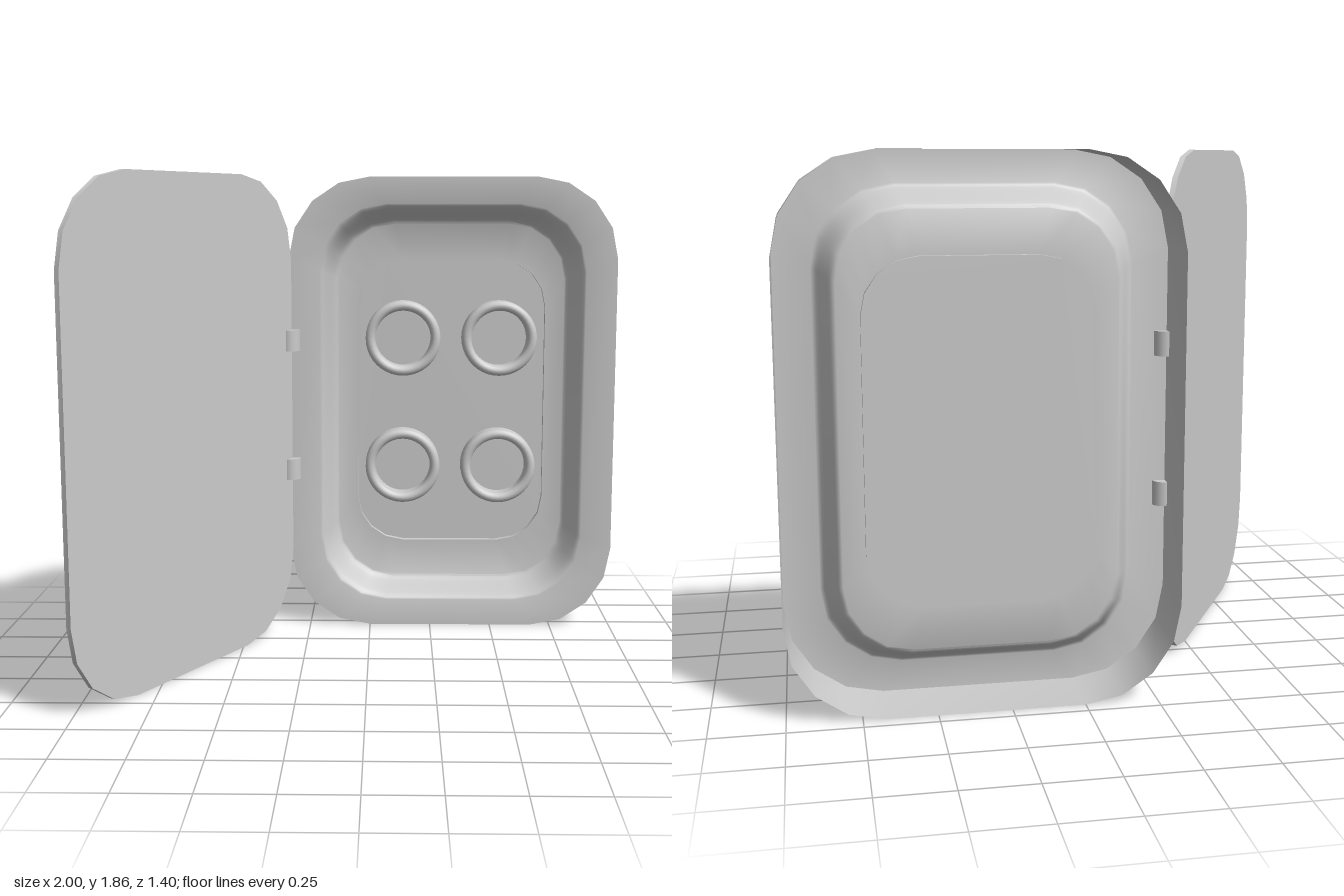
import * as THREE from 'three';
import { toCreasedNormals } from 'three/addons/utils/BufferGeometryUtils.js';

const MID_Y = 0.9275;
const material = new THREE.MeshStandardMaterial({ color: 0xcccccc, side: THREE.DoubleSide });

function addMesh(parent, name, geometry, x = 0, y = 0, z = 0) {
  const mesh = new THREE.Mesh(geometry, material);
  mesh.name = name;
  mesh.position.set(x, y, z);
  parent.add(mesh);
  return mesh;
}

// Counter-clockwise rounded rectangle with four segments per corner
function outline(hw, hh, r) {
  const points = [];
  const signs = [[1, 1], [-1, 1], [-1, -1], [1, -1]];
  signs.forEach(([sx, sy], corner) => {
    for (let i = 0; i <= 4; i++) {
      const a = (corner + i / 4) * Math.PI / 2;
      points.push(new THREE.Vector2(sx * (hw - r) + r * Math.cos(a), sy * (hh - r) + r * Math.sin(a)));
    }
  });
  return points;
}

// Skin joining rounded rectangles given as [halfWidth, halfHeight, radius, z]
function loft(sections) {
  const positions = [], index = [], n = 20;
  for (const [hw, hh, r, z] of sections) {
    for (const p of outline(hw, hh, r)) positions.push(p.x, p.y, z);
  }
  for (let j = 0; j < sections.length - 1; j++) {
    for (let i = 0; i < n; i++) {
      const a = j * n + i, b = j * n + (i + 1) % n;
      index.push(a, b, a + n, b, b + n, a + n);
    }
  }
  const geometry = new THREE.BufferGeometry();
  geometry.setAttribute('position', new THREE.Float32BufferAttribute(positions, 3));
  geometry.setIndex(index);
  return toCreasedNormals(geometry, 0.6);
}

export function createModel() {
  const model = new THREE.Group();
  model.name = 'openCase';

  // Thin shell, open at the back: outer wall, flat rim, soft slope, basin floor, step
  const tray = new THREE.Group();
  tray.name = 'tray';
  tray.position.set(0.335, MID_Y, 0);
  model.add(tray);
  const sections = [[0.665, 0.9275, 0.33, -0.7], [0.665, 0.9275, 0.33, -0.455]];
  const steps = 10;
  for (let i = 0; i <= steps; i++) {
    const t = i / steps;
    const drop = t * t * (3 - 2 * t);
    sections.push([0.54 - 0.075 * t, 0.82 - 0.08 * t, 0.27 - 0.04 * t, -0.455 - 0.115 * drop]);
  }
  sections.push([0.3875, 0.59, 0.19, -0.57], [0.3875, 0.59, 0.19, -0.595]);
  addMesh(tray, 'trayShell', loft(sections));

  // Recessed panel closing the basin
  addMesh(tray, 'recessedPanel', new THREE.ShapeGeometry(new THREE.Shape(outline(0.3875, 0.59, 0.19))), 0, 0, -0.595);

  // Four round cups with a rolled lip
  const lip = 0.02, profile = [new THREE.Vector2(0.155, 0)];
  for (let i = 0; i <= 8; i++) {
    const a = i / 8 * Math.PI;
    profile.push(new THREE.Vector2(0.135 + lip * Math.cos(a), 0.06 + lip * Math.sin(a)));
  }
  profile.push(new THREE.Vector2(0.115, 0));
  const cup = new THREE.LatheGeometry(profile, 40);
  cup.rotateX(Math.PI / 2);
  for (const x of [-0.2, 0.198]) {
    for (const y of [0.27, -0.265]) addMesh(tray, 'cupRing', cup, x, y, -0.595);
  }

  // Flat lid swung open about the hinge line
  const hingeX = -0.328, hingeZ = -0.449;
  const lid = new THREE.Group();
  lid.name = 'lid';
  lid.position.set(hingeX, MID_Y, hingeZ);
  lid.rotation.y = Math.PI / 3;
  model.add(lid);
  const plate = new THREE.ExtrudeGeometry(new THREE.Shape(outline(0.6625, 0.9275, 0.33)), { depth: 0.02, bevelEnabled: false });
  addMesh(lid, 'lidPlate', toCreasedNormals(plate, 0.6), -0.6625, 0, -0.01);

  // Hinge barrels
  for (const y of [1.198, 0.668]) {
    addMesh(model, 'hingeBarrel', new THREE.CylinderGeometry(0.043, 0.043, 0.086, 24), hingeX, y, hingeZ);
  }
  return model;
}
